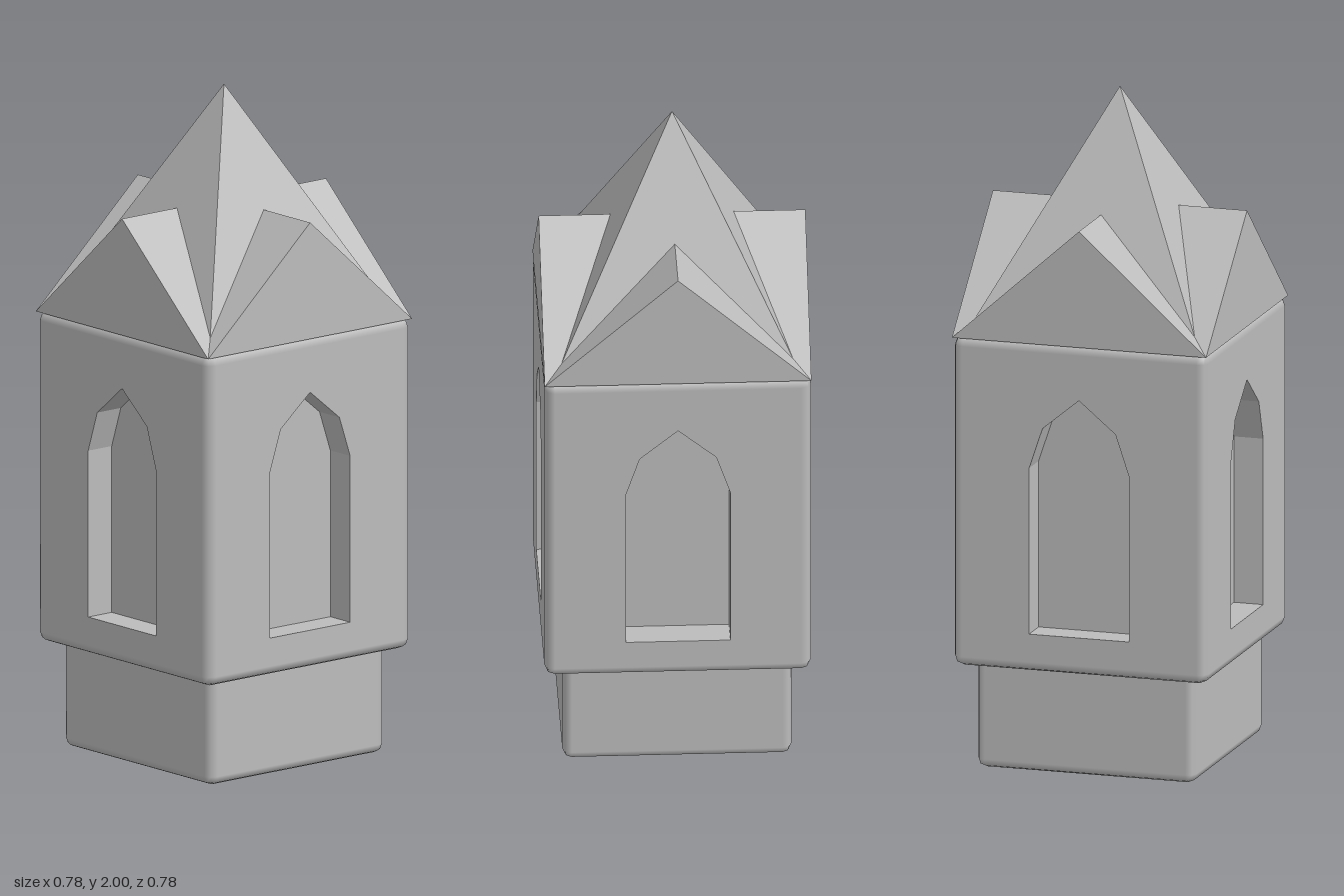
import * as THREE from 'three';
import { RoundedBoxGeometry } from 'three/addons/geometries/RoundedBoxGeometry.js';

const HALF = 0.39, BEVEL = 0.03, RECESS = 0.09;
const BOTTOM = 0.315, TOP = 1.31, EAVE = 1.305, RIDGE = 1.655, PEAK = 2;

// Rounded box without its four flat sides, leaving room for the window walls
function bevelFrame(width, height) {
  const box = new RoundedBoxGeometry(width, height, width, 1, BEVEL);
  const src = box.index ? box.toNonIndexed() : box;
  const p = src.attributes.position, n = src.attributes.normal;
  const pos = [], nor = [];
  for (let i = 0; i < p.count; i += 3) {
    const corners = [i, i + 1, i + 2];
    const flatSide = ['getX', 'getZ'].some(get =>
      [1, -1].every(s => s) && [1, -1].some(s => corners.every(k => s * p[get](k) > width / 2 - 1e-4)));
    if (flatSide) continue;
    for (const k of corners) {
      pos.push(p.getX(k), p.getY(k), p.getZ(k));
      nor.push(n.getX(k), n.getY(k), n.getZ(k));
    }
  }
  const geo = new THREE.BufferGeometry();
  geo.setAttribute('position', new THREE.Float32BufferAttribute(pos, 3));
  geo.setAttribute('normal', new THREE.Float32BufferAttribute(nor, 3));
  return geo;
}

// Flat wall with a pointed-arch window opening
function windowWall() {
  const w = HALF - BEVEL, y0 = BOTTOM + BEVEL, y1 = TOP - BEVEL;
  const points = list => list.map(([x, y]) => new THREE.Vector2(x, y));
  const shape = new THREE.Shape(points([[-w, y0], [w, y0], [w, y1], [-w, y1]]));
  shape.holes.push(new THREE.Path(points([
    [-0.153, 0.43], [-0.153, 0.93], [-0.112, 1.052], [0, 1.145],
    [0.112, 1.052], [0.153, 0.93], [0.153, 0.43],
  ])));
  return new THREE.ExtrudeGeometry(shape, { depth: RECESS, bevelEnabled: false });
}

// Triangular prism running the full depth of the roof
function gablePrism() {
  const shape = new THREE.Shape();
  shape.moveTo(-HALF, EAVE);
  shape.lineTo(HALF, EAVE);
  shape.lineTo(0, RIDGE);
  shape.closePath();
  const geo = new THREE.ExtrudeGeometry(shape, { depth: 2 * HALF, bevelEnabled: false });
  return geo.translate(0, 0, -HALF);
}

export function createModel() {
  const stone = new THREE.MeshStandardMaterial({ color: 0xbcbcbc });
  stone.name = 'grey stone';
  const model = new THREE.Group();
  model.name = 'tower';
  const add = (name, geo, y = 0, turn = 0) => {
    const mesh = new THREE.Mesh(geo, stone);
    mesh.name = name;
    mesh.position.y = y;
    mesh.rotation.y = turn;
    model.add(mesh);
    return mesh;
  };

  // Narrow foot below the main block
  add('foot', new RoundedBoxGeometry(0.67, 0.36, 0.67, 1, 0.027), 0.18);

  // Main block: bevelled frame, four recessed window walls, inner core
  const height = TOP - BOTTOM, middle = (TOP + BOTTOM) / 2;
  add('bodyFrame', bevelFrame(2 * HALF, height), middle);
  const inner = HALF - RECESS;
  add('windowBack', new THREE.BoxGeometry(2 * inner, height - 0.02, 2 * inner), middle);
  const wall = windowWall().translate(0, 0, inner);
  for (let i = 0; i < 4; i++) add('windowWall' + (i + 1), wall, 0, i * Math.PI / 2);

  // Crossed gables with a steep pyramid rising through them
  const gable = gablePrism();
  add('gableFrontBack', gable);
  add('gableSides', gable, 0, Math.PI / 2);
  const spire = new THREE.ConeGeometry(0.36 * Math.SQRT2, PEAK - TOP, 4).toNonIndexed();
  spire.computeVertexNormals();
  add('spire', spire, (PEAK + TOP) / 2, Math.PI / 4);

  return model;
}
